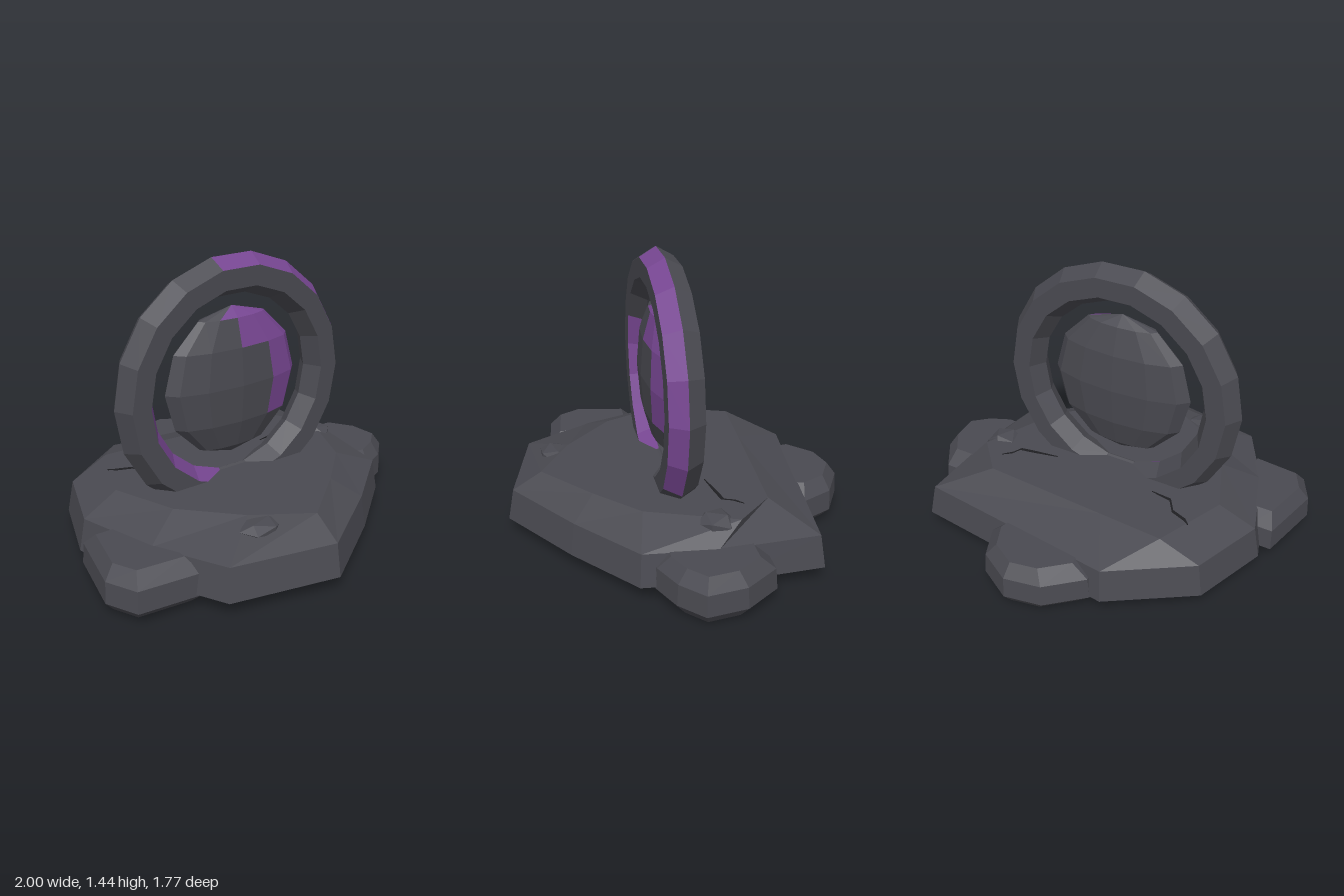
import * as THREE from 'three';

const stone = new THREE.MeshStandardMaterial({ color: 0x4a4a51 });
stone.name = 'dark stone';
const violet = new THREE.MeshStandardMaterial({ color: 0x774692 });
violet.name = 'violet glow';
const shadow = new THREE.MeshStandardMaterial({ color: 0x1f1f22 });
shadow.name = 'crack black';

// Separate every facet so that it shades flat
function facet(geo) {
  const g = geo.index ? geo.toNonIndexed() : geo;
  g.computeVertexNormals();
  return g;
}

// Second material on the triangles picked by the rule
function paint(geo, rule) {
  const g = facet(geo);
  g.clearGroups();
  const n = g.attributes.position.count / 3;
  for (let t = 0; t < n; t++) g.addGroup(t * 3, 3, rule(t) ? 1 : 0);
  return g;
}

function add(parent, name, geo, material) {
  const m = new THREE.Mesh(geo, material);
  m.name = name;
  parent.add(m);
  return m;
}

// Closed solid through stacked loops of [x, z] points, lowest first
function loft(layers) {
  const pos = [];
  const n = layers[0].pts.length;
  const v = (l, i) => [l.pts[i % n][0], l.y, l.pts[i % n][1]];
  const mid = (l) => [
    l.pts.reduce((s, p) => s + p[0], 0) / n, l.y,
    l.pts.reduce((s, p) => s + p[1], 0) / n];
  const bottom = layers[0], top = layers[layers.length - 1];
  for (let i = 0; i < n; i++) {
    for (let k = 0; k + 1 < layers.length; k++) {
      const a = v(layers[k], i), b = v(layers[k], i + 1);
      const c = v(layers[k + 1], i + 1), d = v(layers[k + 1], i);
      pos.push(...a, ...b, ...c, ...a, ...c, ...d);
    }
    pos.push(...mid(top), ...v(top, i), ...v(top, i + 1));
    pos.push(...mid(bottom), ...v(bottom, i + 1), ...v(bottom, i));
  }
  const g = new THREE.BufferGeometry();
  g.setAttribute('position', new THREE.Float32BufferAttribute(pos, 3));
  g.computeVertexNormals();
  return g;
}

const scaled = (pts, s, cx = 0, cz = 0) =>
  pts.map(([x, z]) => [cx + (x - cx) * s, cz + (z - cz) * s]);

// Thin strip lying on the slab along [x, z] points, tapering at both ends
function crack(pts, y) {
  const shape = new THREE.Shape();
  const last = pts.length - 1;
  const w = (i) => (i === 0 || i === last ? 0.002 : 0.008);
  pts.forEach(([x, z], i) => (i ? shape.lineTo(x, -z + w(i)) : shape.moveTo(x, -z + w(i))));
  for (let i = last; i >= 0; i--) shape.lineTo(pts[i][0], -pts[i][1] - w(i));
  const g = new THREE.ExtrudeGeometry(shape, { depth: 0.006, bevelEnabled: false });
  g.rotateX(-Math.PI / 2);
  g.translate(0, y, 0);
  return g;
}

export function createModel() {
  const model = new THREE.Group();
  model.name = 'ring shrine';

  // Main slab
  const rim = [[0.75, -0.57], [-0.37, -0.7], [-0.77, -0.42], [-0.9, -0.02], [-0.76, 0.4],
    [-0.56, 0.76], [-0.02, 0.88], [0.39, 0.6], [0.73, 0.32], [0.77, -0.05]];
  const crown = [[0.48, -0.36], [-0.2, -0.4], [-0.54, -0.42], [-0.68, -0.04], [-0.55, 0.28],
    [-0.3, 0.53], [-0.02, 0.7], [0.26, 0.47], [0.48, 0.26], [0.65, -0.18]];
  add(model, 'slab', loft([
    { y: 0, pts: scaled(rim, 0.73) },
    { y: 0.08, pts: rim },
    { y: 0.245, pts: scaled(rim, 0.965) },
    { y: 0.335, pts: crown },
  ]), stone);

  // Boulders set against the slab: outline, then a chamfered top and bottom
  const boulders = {
    rightBoulder: [[0.85, -0.3], [0.62, -0.3], [0.6, 0.24], [0.73, 0.25], [0.88, 0.18], [0.995, 0.07], [0.97, -0.13]],
    backBoulder: [[0.23, -0.79], [0.05, -0.89], [-0.14, -0.85], [-0.31, -0.69], [-0.28, -0.5], [0.28, -0.5], [0.31, -0.62]],
    leftBoulder: [[-0.81, 0.07], [-0.93, 0.07], [-1, 0.43], [-0.92, 0.585], [-0.6, 0.62], [-0.6, 0.45], [-0.72, 0.2]],
  };
  for (const [name, pts] of Object.entries(boulders)) {
    const cx = pts.reduce((s, p) => s + p[0], 0) / pts.length;
    const cz = pts.reduce((s, p) => s + p[1], 0) / pts.length;
    add(model, name, loft([
      { y: 0.015, pts: scaled(pts, 0.78, cx, cz) },
      { y: 0.07, pts },
      { y: 0.18, pts: scaled(pts, 0.97, cx, cz) },
      { y: 0.248, pts: scaled(pts, 0.72, cx, cz) },
    ]), stone);
  }

  // Pebbles on the slab
  for (const [x, y, z, sx, sy, sz, turn] of [
    [-0.28, 0.305, 0.61, 0.115, 0.038, 0.085, 0.4],
    [0.6, 0.31, -0.07, 0.095, 0.05, 0.1, 1.1]]) {
    const pebble = add(model, 'pebble', new THREE.IcosahedronGeometry(1, 0).rotateY(turn), stone);
    pebble.scale.set(sx, sy, sz);
    pebble.position.set(x, y, z);
  }

  // Cracks in the top
  add(model, 'crack', crack([[-0.61, -0.26], [-0.58, -0.235], [-0.5, -0.205], [-0.45, -0.13], [-0.34, -0.115]], 0.332), shadow);
  add(model, 'crack', crack([[0.24, -0.1], [0.37, -0.125], [0.45, -0.14], [0.47, -0.19], [0.51, -0.23]], 0.332), shadow);

  // Standing ring: violet on part of the outer and inner front bevels
  const ring = add(model, 'ring', paint(new THREE.TorusGeometry(0.56, 0.1, 6, 18), (t) => {
    const q = Math.floor(t / 2), band = Math.floor(q / 18), step = q % 18;
    return (band === 0 && (step < 5 || step > 15)) || (band === 2 && step > 7 && step < 13);
  }), [stone, violet]);
  ring.position.set(-0.06, 0.795, 0.06);

  // Flattened core with a violet patch on its upper front side
  const core = paint(new THREE.SphereGeometry(0.387, 12, 6).scale(1, 1, 0.275), (t) => {
    const q = Math.floor((t - 12) / 2);
    const row = t < 12 ? 0 : 1 + Math.floor(q / 12);
    const col = t < 12 ? t : q % 12;
    return row < 4 && col < 6 && col >= [2, 3, 4, 4][row];
  });
  add(model, 'core', core, [stone, violet]).position.set(-0.06, 0.808, 0.06);

  return model;
}
